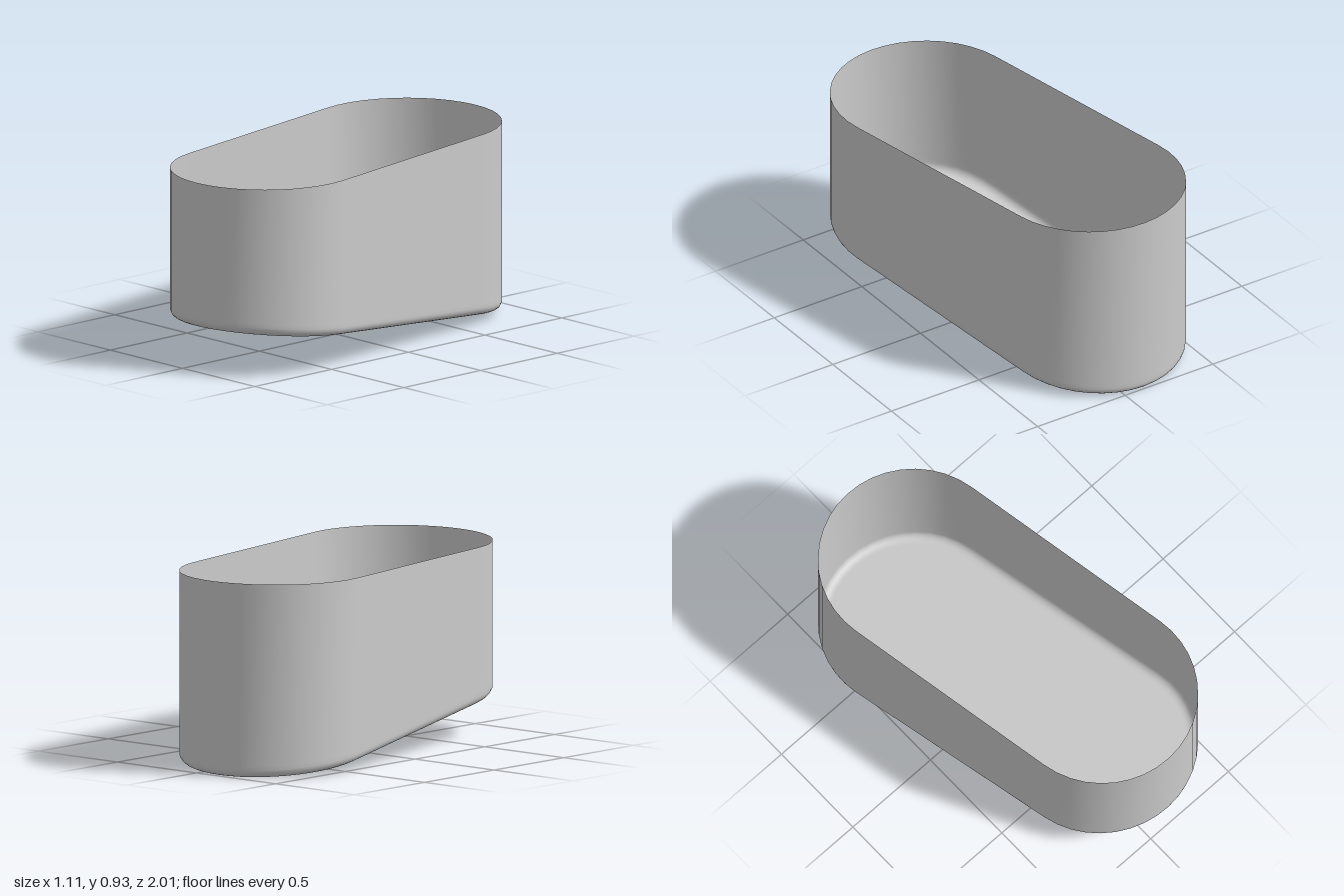
import * as THREE from 'three';

// Open thin-walled tub: a slanted stadium plan, sloping floor and rounded bottom edge
const HALF = 0.56;            // centre to end-arc centre
const RADIUS = 0.455;         // end-arc radius
const YAW = Math.atan2(0.1, 0.55);
const BEVEL = 0.04;
const ARC = 20;               // segments per end arc

const floorY = t => 0.108 + 0.11 * t;
const rimY = t => 0.93 - 0.004 * t;

// Stadium outline as (s across, t along), shrunk by inset
function outline(inset) {
  const pts = [];
  for (const end of [1, -1]) {
    for (let i = 0; i <= ARC; i++) {
      const a = Math.PI * i / ARC;
      pts.push([end * (RADIUS - inset) * Math.cos(a), end * (HALF + (RADIUS - inset) * Math.sin(a))]);
    }
  }
  return pts;
}

function tubGeometry() {
  // Rings from the floor, up round the bottom edge, to the rim
  const rings = [{ inset: BEVEL + 0.01, y: floorY }];
  for (let i = 0; i <= 5; i++) {
    const a = Math.PI / 2 * i / 5;
    rings.push({ inset: BEVEL * (1 - Math.sin(a)), y: t => floorY(t) + BEVEL * (1 - Math.cos(a)) });
  }
  rings.push({ inset: 0, y: t => floorY(t) + BEVEL + 0.02 });
  rings.push({ inset: 0, y: rimY });

  const c = Math.cos(YAW), s = Math.sin(YAW);
  const positions = [0, floorY(0), 0];
  const index = [];
  const n = 2 * (ARC + 1);
  rings.forEach((ring, r) => {
    outline(ring.inset).forEach(([u, t], j) => {
      positions.push(u * c + t * s, ring.y(t), t * c - u * s);
      const k = (j + 1) % n;
      if (r === 0) {
        index.push(0, 1 + j, 1 + k);
      } else {
        const lo = 1 + (r - 1) * n, up = lo + n;
        index.push(lo + j, up + j, lo + k, up + j, up + k, lo + k);
      }
    });
  });

  const geometry = new THREE.BufferGeometry();
  geometry.setAttribute('position', new THREE.Float32BufferAttribute(positions, 3));
  geometry.setIndex(index);
  geometry.computeVertexNormals();
  return geometry;
}

export function createModel() {
  const group = new THREE.Group();
  group.name = 'openTub';
  const material = new THREE.MeshStandardMaterial({ color: 0xcccccc, side: THREE.DoubleSide });
  const shell = new THREE.Mesh(tubGeometry(), material);
  shell.name = 'tubShell';
  group.add(shell);
  return group;
}
